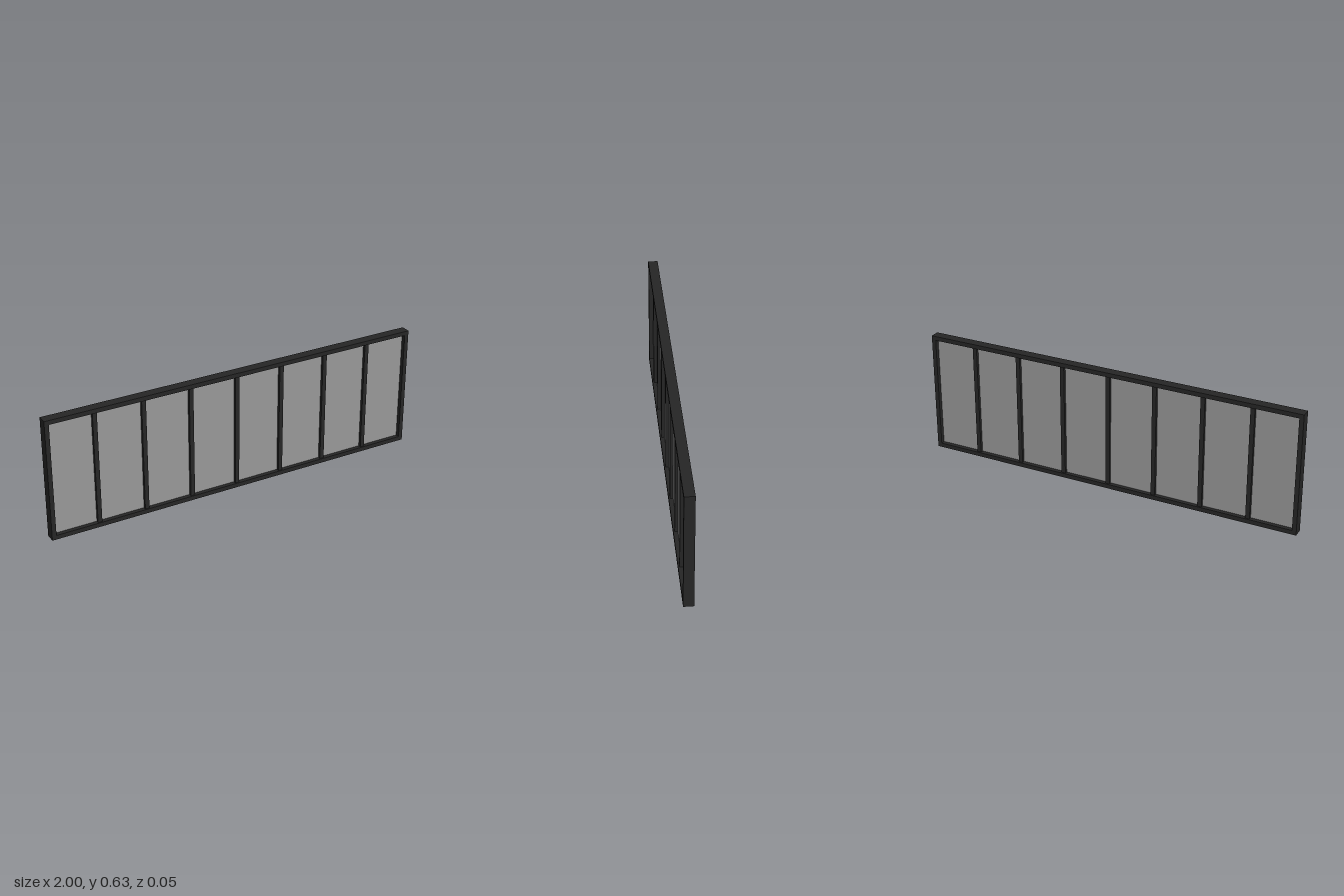
import * as THREE from 'three';

const WIDTH = 2, HEIGHT = 0.628, DEPTH = 0.05, BAR = 0.022;
const PANES = 8, MULLION_DEPTH = 0.036, GLASS_DEPTH = 0.006;

export function createModel() {
  const model = new THREE.Group();
  model.name = 'panelledWindow';
  const frameMaterial = new THREE.MeshStandardMaterial({ color: 0x262626 });
  const glassMaterial = new THREE.MeshStandardMaterial({ color: 0x999999 });

  const addBox = (name, size, position, material) => {
    const mesh = new THREE.Mesh(new THREE.BoxGeometry(...size), material);
    mesh.name = name;
    mesh.position.set(...position);
    model.add(mesh);
  };

  // Outer frame: one closed rectangular ring
  const outline = new THREE.Shape([
    new THREE.Vector2(-WIDTH / 2, 0), new THREE.Vector2(WIDTH / 2, 0),
    new THREE.Vector2(WIDTH / 2, HEIGHT), new THREE.Vector2(-WIDTH / 2, HEIGHT),
  ]);
  const innerX = WIDTH / 2 - BAR;
  outline.holes.push(new THREE.Path([
    new THREE.Vector2(-innerX, BAR), new THREE.Vector2(-innerX, HEIGHT - BAR),
    new THREE.Vector2(innerX, HEIGHT - BAR), new THREE.Vector2(innerX, BAR),
  ]));
  const frameGeometry = new THREE.ExtrudeGeometry(outline, { depth: DEPTH, bevelEnabled: false });
  frameGeometry.translate(0, 0, -DEPTH / 2);
  const frame = new THREE.Mesh(frameGeometry, frameMaterial);
  frame.name = 'outerFrame';
  model.add(frame);

  const innerHeight = HEIGHT - 2 * BAR;
  const pitch = WIDTH / PANES;

  for (let i = 0; i < PANES; i++) {
    // Glass pane, bounded by the frame or a mullion on each side
    const start = -WIDTH / 2 + i * pitch;
    const left = start + (i === 0 ? BAR : BAR / 2);
    const right = start + pitch - (i === PANES - 1 ? BAR : BAR / 2);
    addBox('glassPane', [right - left, innerHeight, GLASS_DEPTH],
      [(left + right) / 2, HEIGHT / 2, 0], glassMaterial);

    // Slightly recessed vertical mullion between panes
    if (i > 0) {
      addBox('mullion', [BAR, innerHeight, MULLION_DEPTH], [start, HEIGHT / 2, 0], frameMaterial);
    }
  }
  return model;
}
